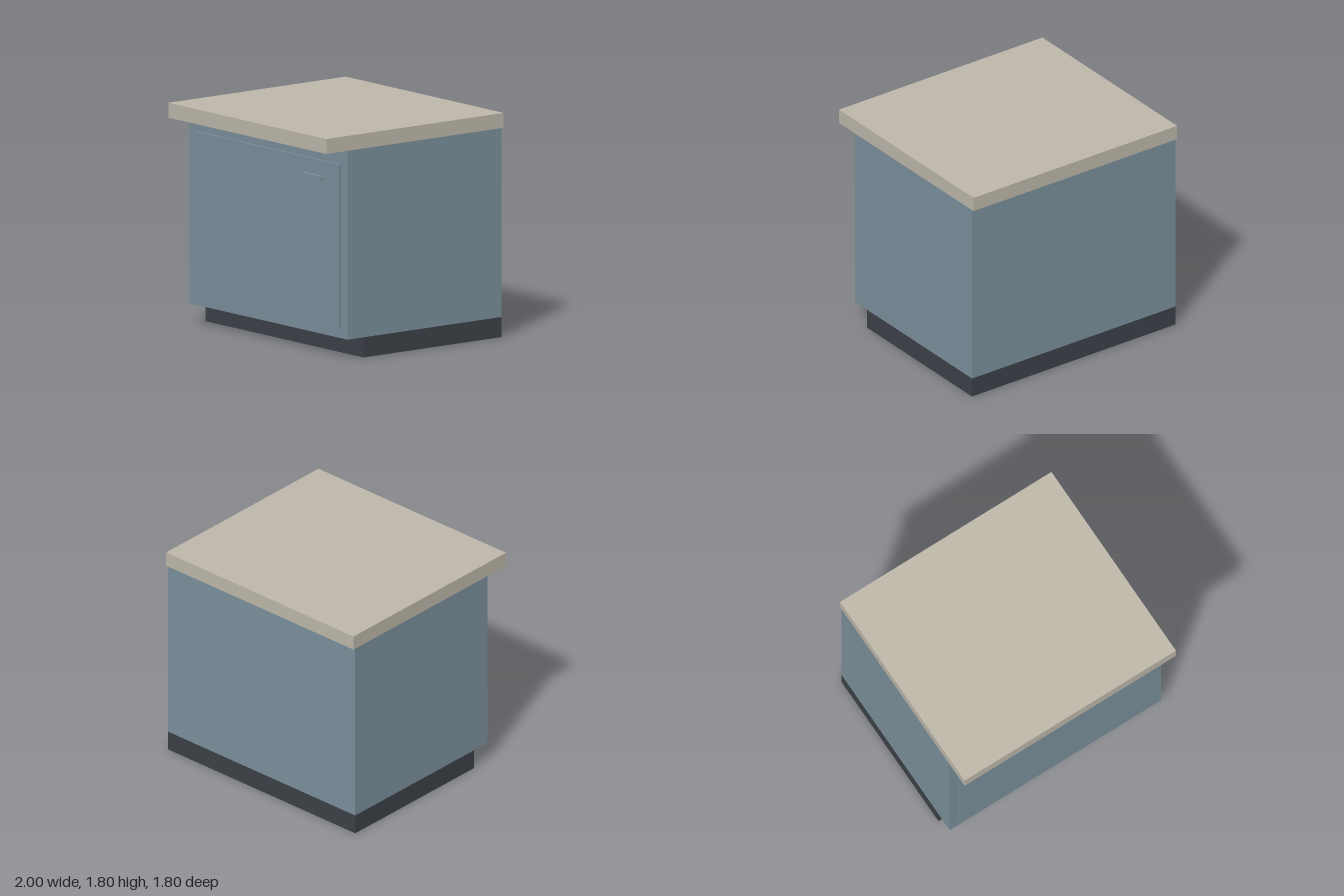
import * as THREE from 'three';

const paint = (name, color) => {
  const material = new THREE.MeshStandardMaterial({ color });
  material.name = name;
  return material;
};

// Box given by its limits along each axis
function block(name, material, [x0, x1], [y0, y1], [z0, z1]) {
  const mesh = new THREE.Mesh(new THREE.BoxGeometry(x1 - x0, y1 - y0, z1 - z0), material);
  mesh.position.set((x0 + x1) / 2, (y0 + y1) / 2, (z0 + z1) / 2);
  mesh.name = name;
  return mesh;
}

export function createModel() {
  const blue = paint('blue grey cabinet', 0x7a8f9b);
  const stone = paint('beige worktop', 0xbdb7a9);
  const dark = paint('dark plinth', 0x3c4047);

  const plinthTop = 0.162, bodyTop = 1.683;
  const back = -0.88, bodyFront = 0.684, doorFront = 0.703;

  const cabinet = new THREE.Group();
  cabinet.name = 'baseCabinet';
  cabinet.add(
    // Recessed toe kick, carcass and overhanging top
    block('plinth', dark, [-1, 1], [0, plinthTop], [back, 0.523]),
    block('carcass', blue, [-1, 1], [plinthTop, bodyTop], [back, bodyFront]),
    block('worktop', stone, [-1, 1], [bodyTop, 1.803], [-0.9, 0.9]),
    // Door panel with its bar handle
    block('door', blue, [-0.917, 0.917], [0.241, 1.563], [bodyFront, doorFront]),
    block('handle', blue, [0.483, 0.718], [1.402, 1.44], [doorFront, 0.733]),
  );
  return cabinet;
}
